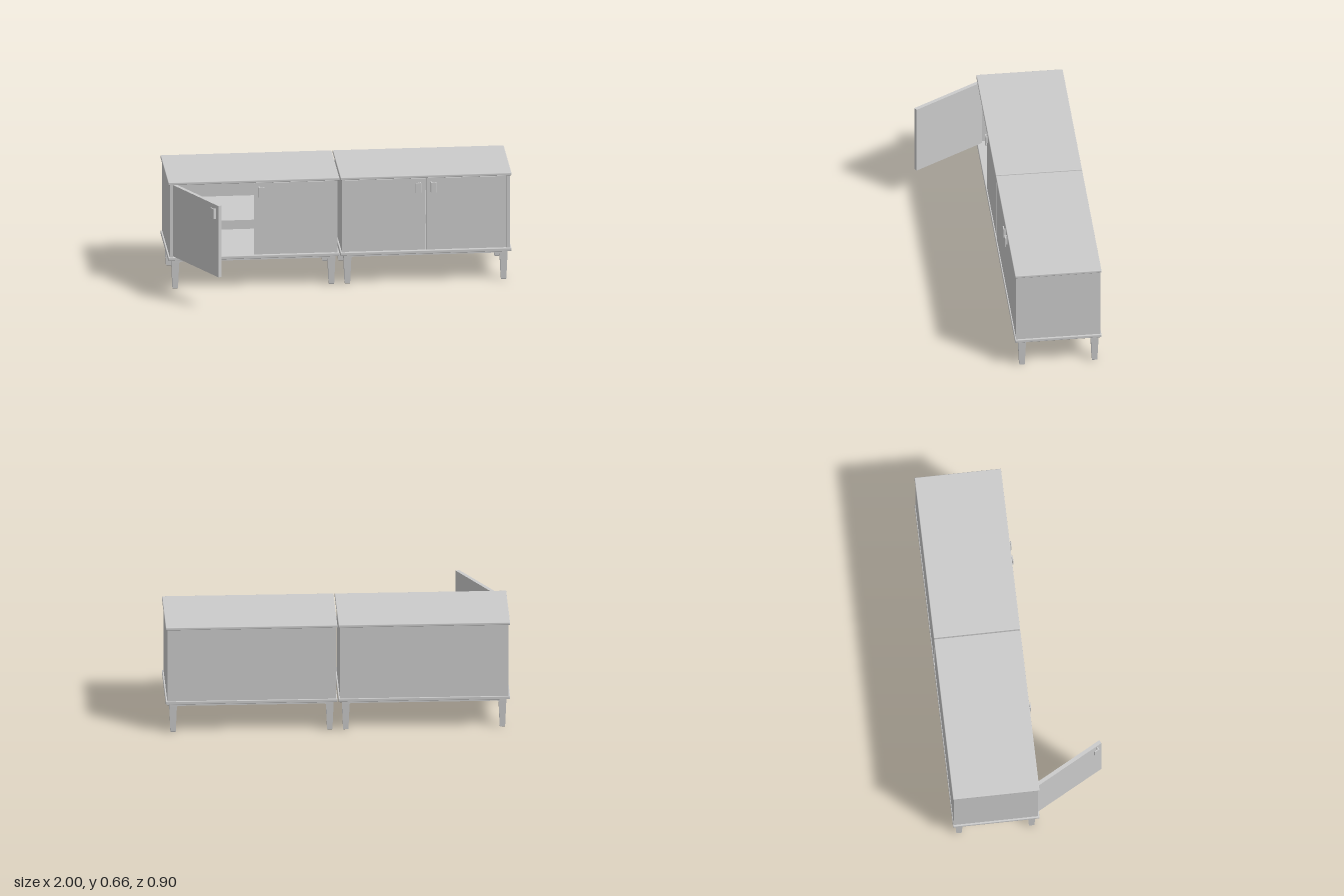
import * as THREE from 'three';
import { RoundedBoxGeometry } from 'three/addons/geometries/RoundedBoxGeometry.js';

const material = new THREE.MeshStandardMaterial({ color: 0xcccccc });

function add(parent, name, geometry, x = 0, y = 0, z = 0) {
  const mesh = new THREE.Mesh(geometry, material);
  mesh.name = name;
  mesh.position.set(x, y, z);
  parent.add(mesh);
  return mesh;
}

// Box given by its lower and upper limits on each axis; r rounds the edges
function block(parent, name, [x0, x1], [y0, y1], [z0, z1], r = 0) {
  const w = x1 - x0, h = y1 - y0, d = z1 - z0;
  const geometry = r ? new RoundedBoxGeometry(w, h, d, 2, r) : new THREE.BoxGeometry(w, h, d);
  return add(parent, name, geometry, (x0 + x1) / 2, (y0 + y1) / 2, (z0 + z1) / 2);
}

// Square tapered leg with a chamfered foot
function legGeometry() {
  const k = Math.SQRT2;
  const profile = [[0, 0], [0.012, 0], [0.0155, 0.004], [0.022, 0.16], [0.0225, 0.182], [0, 0.182]]
    .map(([half, y]) => new THREE.Vector2(half * k, y));
  const geometry = new THREE.LatheGeometry(profile, 4, Math.PI / 4).toNonIndexed();
  geometry.computeVertexNormals();
  return geometry;
}

// Rail whose lower edge curves down into the legs at both ends
function railGeometry(length) {
  const a = length / 2, low = -0.028, r = 0.013;
  const s = new THREE.Shape();
  s.moveTo(-a, 0);
  s.lineTo(-a, low);
  s.quadraticCurveTo(-a, low + r, -a + r, low + r);
  s.lineTo(a - r, low + r);
  s.quadraticCurveTo(a, low + r, a, low);
  s.lineTo(a, 0);
  s.closePath();
  const geometry = new THREE.ExtrudeGeometry(s, { depth: 0.014, bevelEnabled: false, curveSegments: 5 });
  return geometry.translate(0, 0, -0.007);
}

// Door hinged at its own x = 0 and reaching toward the cabinet middle
function makeDoor(side, angle) {
  const door = new THREE.Group();
  door.name = side < 0 ? 'rightDoor' : 'leftDoor';
  const width = 0.468;
  const span = (a, b) => (side < 0 ? [a, b] : [-b, -a]);
  block(door, 'doorPanel', span(0, width), [0.203, 0.639], [-0.022, 0]);
  // Hooked pull: a stem and a front plate
  const inner = width - 0.026;
  block(door, 'handleStem', span(inner - 0.008, inner), [0.555, 0.617], [0, 0.012]);
  block(door, 'handlePlate', span(inner - 0.034, inner), [0.555, 0.617], [0.01, 0.017], 0.002);
  door.position.set(side * 0.47, 0, angle ? 0.042 : 0.053);
  door.rotation.y = angle;
  return door;
}

function makeCabinet(rightDoorAngle) {
  const cabinet = new THREE.Group();
  const slabX = [-0.4985, 0.4985], slabZ = [-0.445, 0.06];

  // Carcass
  block(cabinet, 'topBoard', slabX, [0.643, 0.66], slabZ, 0.004);
  block(cabinet, 'bottomBoard', slabX, [0.18, 0.2], slabZ, 0.004);
  for (const s of [-1, 1]) {
    block(cabinet, 'sidePanel', [s * 0.48 - 0.009, s * 0.48 + 0.009], [0.199, 0.644], [-0.44, 0.053]);
  }
  block(cabinet, 'backPanel', [-0.472, 0.472], [0.199, 0.644], [-0.44, -0.425]);
  block(cabinet, 'shelf', [-0.472, 0.472], [0.387, 0.405], [-0.426, 0.02]);

  // Doors
  cabinet.add(makeDoor(-1, rightDoorAngle), makeDoor(1, 0));

  // Legs and rails
  const base = new THREE.Group();
  base.name = 'legFrame';
  base.position.z = -0.1955;
  cabinet.add(base);
  const leg = legGeometry(), lx = 0.455, lz = 0.212;
  const longRail = railGeometry(2 * lx - 0.043), shortRail = railGeometry(2 * lz - 0.043);
  for (const s of [-1, 1]) {
    add(base, 'frontLeg', leg, s * lx, 0, lz);
    add(base, 'backLeg', leg, s * lx, 0, -lz);
    add(base, 'longRail', longRail, 0, 0.181, s * (lz + 0.013));
    add(base, 'sideRail', shortRail, s * (lx + 0.013), 0.181, 0).rotation.y = Math.PI / 2;
  }
  return cabinet;
}

export function createModel() {
  const model = new THREE.Group();
  model.name = 'sideboard';
  // Two matching cabinets, the right one with a door ajar
  for (const s of [-1, 1]) {
    const cabinet = makeCabinet(s < 0 ? -1.06 : 0);
    cabinet.name = s < 0 ? 'rightCabinet' : 'leftCabinet';
    cabinet.position.x = s * 0.5015;
    model.add(cabinet);
  }
  return model;
}
